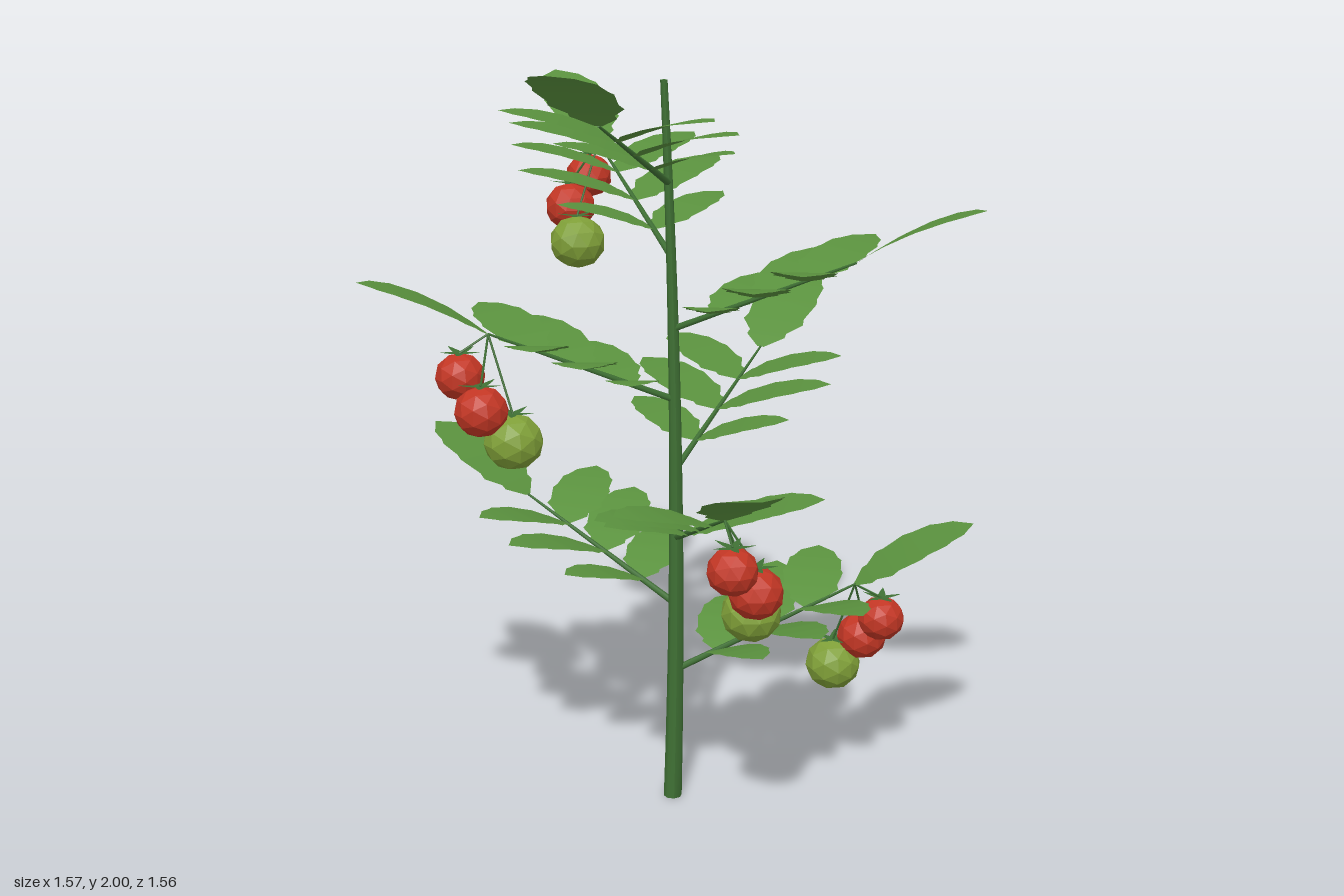
import * as THREE from 'three';

const mat = (name, color, extra = {}) => {
  const m = new THREE.MeshStandardMaterial({ color, ...extra });
  m.name = name;
  return m;
};

const V = (x, y, z) => new THREE.Vector3(x, y, z);

// Gentle bend of the main stem at height y
const stemAt = (y) => V(-0.008 + 0.0271 * y - 0.0191 * y * y, y, -0.008 - 0.006 * y * y);

// Toothed leaf outline: [position along the blade, half width]
const LEAF = [[0, 0.1], [0.1, 0.6], [0.14, 0.58], [0.24, 0.95], [0.3, 0.88], [0.48, 1], [0.54, 0.91],
  [0.7, 0.87], [0.75, 0.73], [0.87, 0.56], [0.9, 0.42], [1, 0]];
const SEPAL = [[0, 0.6], [0.3, 1], [0.65, 0.6], [1, 0]];

// Blade along +x, arched by rise * t + bend * t^2
function bladeGeometry(outline, length, halfWidth, rise, bend) {
  const pos = [], idx = [];
  outline.forEach(([t, w], i) => {
    const y = length * (rise * t + bend * t * t);
    for (const side of [-1, 0, 1]) pos.push(length * t, y, side * w * halfWidth);
    if (i === 0) return;
    for (let k = 0; k < 2; k++) {
      const a = (i - 1) * 3 + k, b = a + 1, c = a + 3, d = a + 4;
      idx.push(a, b, c, b, d, c);
    }
  });
  const g = new THREE.BufferGeometry();
  g.setAttribute('position', new THREE.Float32BufferAttribute(pos, 3));
  g.setIndex(idx);
  g.computeVertexNormals();
  return g;
}

// Tapered straight rod between two points
function rod(name, from, to, r0, r1, material, sides = 6) {
  const dir = to.clone().sub(from);
  const mesh = new THREE.Mesh(new THREE.CylinderGeometry(r1, r0, dir.length(), sides), material);
  mesh.position.copy(from).addScaledVector(dir, 0.5);
  mesh.quaternion.setFromUnitVectors(V(0, 1, 0), dir.normalize());
  mesh.name = name;
  return mesh;
}

export function createModel() {
  const stemGreen = mat('stem green', 0x3f7034, { side: THREE.DoubleSide });
  const leafGreen = mat('leaf green', 0x5a913e, { side: THREE.DoubleSide });
  const ripeRed = mat('ripe red', 0xc23624, { flatShading: true });
  const unripeGreen = mat('unripe green', 0x7f9f38, { flatShading: true });

  const plant = new THREE.Group();
  plant.name = 'fruitingPlant';

  // Main stem
  const stemGeo = new THREE.CylinderGeometry(0.009, 0.024, 1.89, 8, 14);
  stemGeo.translate(0, 0.945, 0);
  const p = stemGeo.attributes.position;
  for (let i = 0; i < p.count; i++) {
    const c = stemAt(p.getY(i));
    p.setX(i, p.getX(i) + c.x);
    p.setZ(i, p.getZ(i) + c.z);
  }
  stemGeo.computeVertexNormals();
  const stem = new THREE.Mesh(stemGeo, stemGreen);
  stem.name = 'mainStem';
  plant.add(stem);

  // Shared blades: side pairs from the stem outwards, then the end leaflet
  const pairs = [
    [0.23, 0.24, 0.07],
    [0.48, 0.295, 0.082],
    [0.73, 0.272, 0.08],
  ].map(([at, length, halfWidth]) => ({ at, geo: bladeGeometry(LEAF, length, halfWidth, 0.5, -0.23) }));
  const endGeo = bladeGeometry(LEAF, 0.314, 0.094, 0.76, -0.28);
  const sepalGeo = bladeGeometry(SEPAL, 0.054, 0.01, 0.08, 0.05);
  const rachisEnd = V(0.475, 0.21, 0);

  function addLeaflet(parent, name, geo, at, yaw) {
    const leaflet = new THREE.Mesh(geo, leafGreen);
    leaflet.name = name;
    leaflet.position.copy(at);
    leaflet.rotation.y = yaw;
    parent.add(leaflet);
  }

  // Compound leaf: stalk, three pairs of leaflets and one at the end
  function compoundLeaf() {
    const leaf = new THREE.Group();
    leaf.name = 'compoundLeaf';
    leaf.add(rod('leafStalk', V(0, 0, 0), rachisEnd, 0.009, 0.003, stemGreen));
    for (const { at, geo } of pairs)
      for (const side of [-1, 1])
        addLeaflet(leaf, 'sideLeaflet', geo, rachisEnd.clone().multiplyScalar(at), side * 1.24);
    addLeaflet(leaf, 'endLeaflet', endGeo, rachisEnd, 0);
    return leaf;
  }

  // Hanging cluster: two ripe fruits and one unripe
  function fruitCluster() {
    const cluster = new THREE.Group();
    cluster.name = 'fruitCluster';
    const fruits = [
      [V(0.547, 0.11, 0), 0.062, ripeRed],
      [V(0.513, 0.037, -0.067), 0.067, ripeRed],
      [V(0.438, -0.043, -0.077), 0.074, unripeGreen],
    ];
    for (const [at, r, material] of fruits) {
      const fruit = new THREE.Group();
      fruit.name = 'fruit';
      fruit.position.copy(at);
      const body = new THREE.Mesh(new THREE.IcosahedronGeometry(r, 1), material);
      body.name = 'fruitBody';
      body.scale.y = 0.94;
      fruit.add(body);
      for (let k = 0; k < 5; k++) {
        const sepal = new THREE.Mesh(sepalGeo, stemGreen);
        sepal.name = 'sepal';
        sepal.position.y = r * 0.94;
        sepal.rotation.y = (k / 5) * Math.PI * 2;
        fruit.add(sepal);
      }
      cluster.add(fruit);
      cluster.add(rod('fruitStalk', rachisEnd, V(at.x, at.y + r * 0.94, at.z), 0.003, 0.003, stemGreen, 5));
    }
    return cluster;
  }

  // Eight leaves spiral up the stem; every second one carries fruit
  for (let i = 0; i < 8; i++) {
    const branch = new THREE.Group();
    branch.name = 'branch';
    branch.position.copy(stemAt(0.36 + i * 0.183));
    branch.rotation.y = THREE.MathUtils.degToRad(i * 137.5);
    branch.add(compoundLeaf());
    if (i % 2 === 0) branch.add(fruitCluster());
    plant.add(branch);
  }
  return plant;
}
